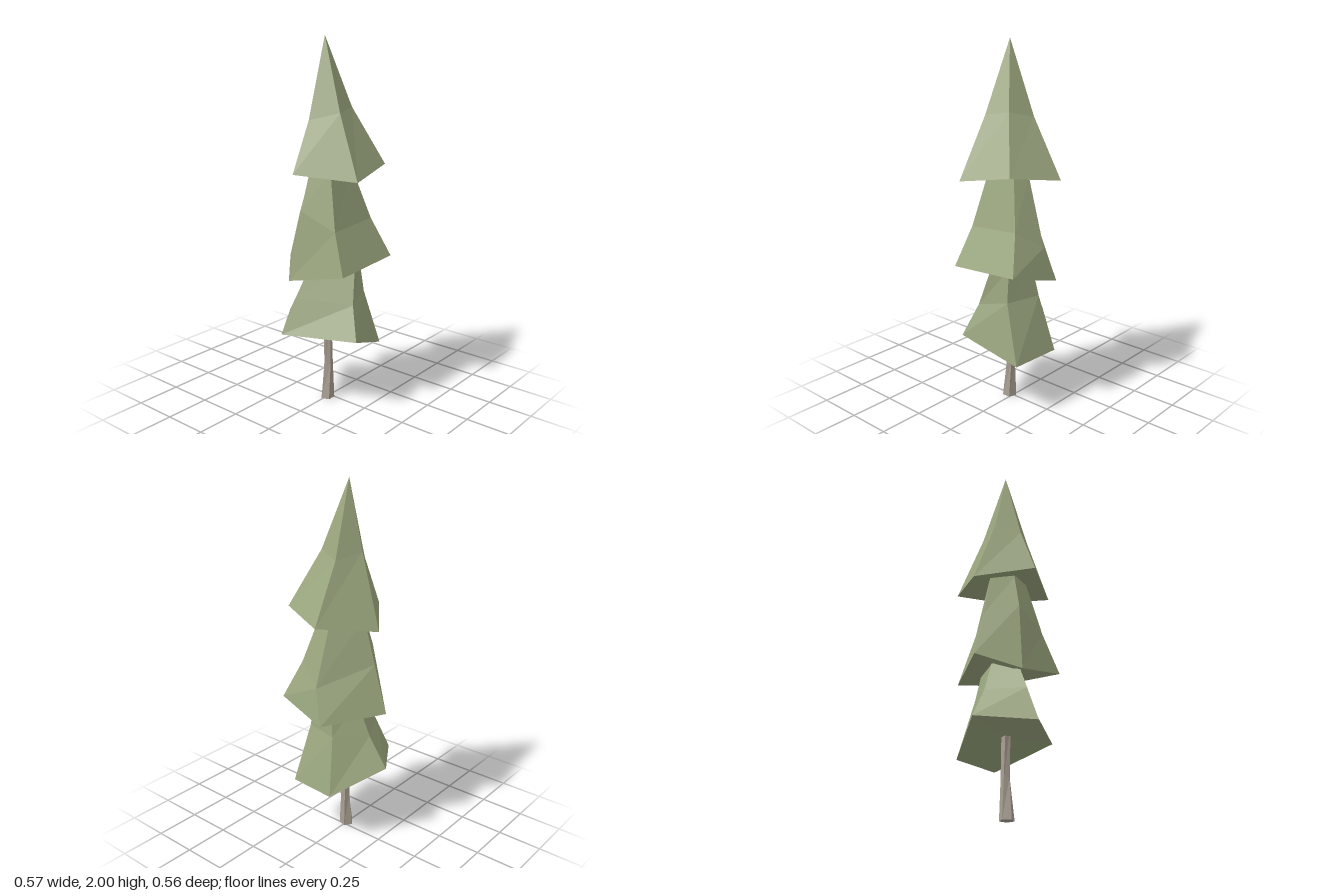
import * as THREE from 'three';

// Joins rings of corners (bottom to top) into a closed faceted solid.
// Each ring runs front-left, front-right, right, back, left.
function loft(rings, bottom, tip) {
  const pos = [];
  const tri = (a, b, c) => pos.push(...a, ...b, ...c);
  const n = rings[0].length;
  const last = rings.length - 1;
  for (let i = 0; i < n; i++) {
    const j = (i + 1) % n;
    for (let r = 0; r < last; r++) {
      const [lo, hi] = [rings[r], rings[r + 1]];
      tri(lo[i], lo[j], hi[j]);
      tri(lo[i], hi[j], hi[i]);
    }
    tri(rings[last][i], rings[last][j], tip);
    tri(rings[0][j], rings[0][i], bottom);
  }
  const geo = new THREE.BufferGeometry();
  geo.setAttribute('position', new THREE.Float32BufferAttribute(pos, 3));
  geo.computeVertexNormals();
  return geo;
}

export function createModel() {
  const tree = new THREE.Group();
  tree.name = 'pineTree';
  const leaf = new THREE.MeshStandardMaterial({ color: 0x9aa67e, flatShading: true });
  const bark = new THREE.MeshStandardMaterial({ color: 0xa89e92, flatShading: true });

  const add = (name, material, rings, bottom, tip) => {
    const mesh = new THREE.Mesh(loft(rings, bottom, tip), material);
    mesh.name = name;
    tree.add(mesh);
  };

  // Slightly crooked trunk: [height, centre x, centre z, radius]
  const trunkRings = [[0, -0.023, 0.002, 0.04], [0.21, -0.015, 0.004, 0.025], [0.5, -0.022, 0.002, 0.025]]
    .map(([y, x, z, r], k) => Array.from({ length: 5 }, (_, i) => {
      const a = (i - 0.5) * Math.PI * 0.4 + k * 0.25;
      return [x + r * Math.sin(a), y, z + r * Math.cos(a)];
    }));
  add('trunk', bark, trunkRings, [-0.023, 0, 0.002], [-0.022, 0.52, 0.002]);

  // Lower branches
  add('lowerBranches', leaf, [
    [[-0.12, 0.435, 0.28], [0.2, 0.315, 0.2], [0.23, 0.325, -0.085], [-0.02, 0.46, -0.278], [-0.286, 0.435, -0.1]],
    [[-0.06, 0.61, 0.21], [0.1, 0.64, 0.16], [0.15, 0.64, -0.04], [-0.01, 0.63, -0.17], [-0.2, 0.63, -0.07]],
    [[0, 0.82, 0.175], [0.09, 0.82, 0.135], [0.125, 0.82, -0.01], [0, 0.82, -0.09], [-0.11, 0.82, -0.03]],
  ], [-0.01, 0.42, 0], [-0.01, 1.1, 0]);

  // Middle branches
  add('middleBranches', leaf, [
    [[-0.197, 0.805, 0.25], [0.22, 0.83, 0.25], [0.262, 0.75, -0.05], [-0.02, 0.79, -0.27], [-0.205, 0.715, -0.115]],
    [[-0.15, 1.02, 0.16], [0.155, 1.04, 0.16], [0.222, 0.94, 0.01], [-0.02, 1.05, -0.19], [-0.158, 1.1, -0.07]],
    [[-0.095, 1.32, 0.085], [0.08, 1.32, 0.085], [0.11, 1.3, 0], [-0.01, 1.3, -0.125], [-0.108, 1.3, -0.04]],
  ], [0, 0.8, 0], [-0.01, 1.6, 0]);

  // Upper branches ending in the pointed tip
  add('upperBranches', leaf, [
    [[-0.12, 1.29, 0.28], [0.18, 1.34, 0.23], [0.285, 1.3, -0.045], [0.015, 1.255, -0.24], [-0.245, 1.31, -0.042]],
    [[-0.075, 1.62, 0.13], [0.06, 1.64, 0.1], [0.112, 1.61, -0.035], [-0.023, 1.64, -0.1], [-0.14, 1.58, -0.022]],
  ], [0, 1.32, 0], [-0.028, 2, -0.008]);

  return tree;
}
